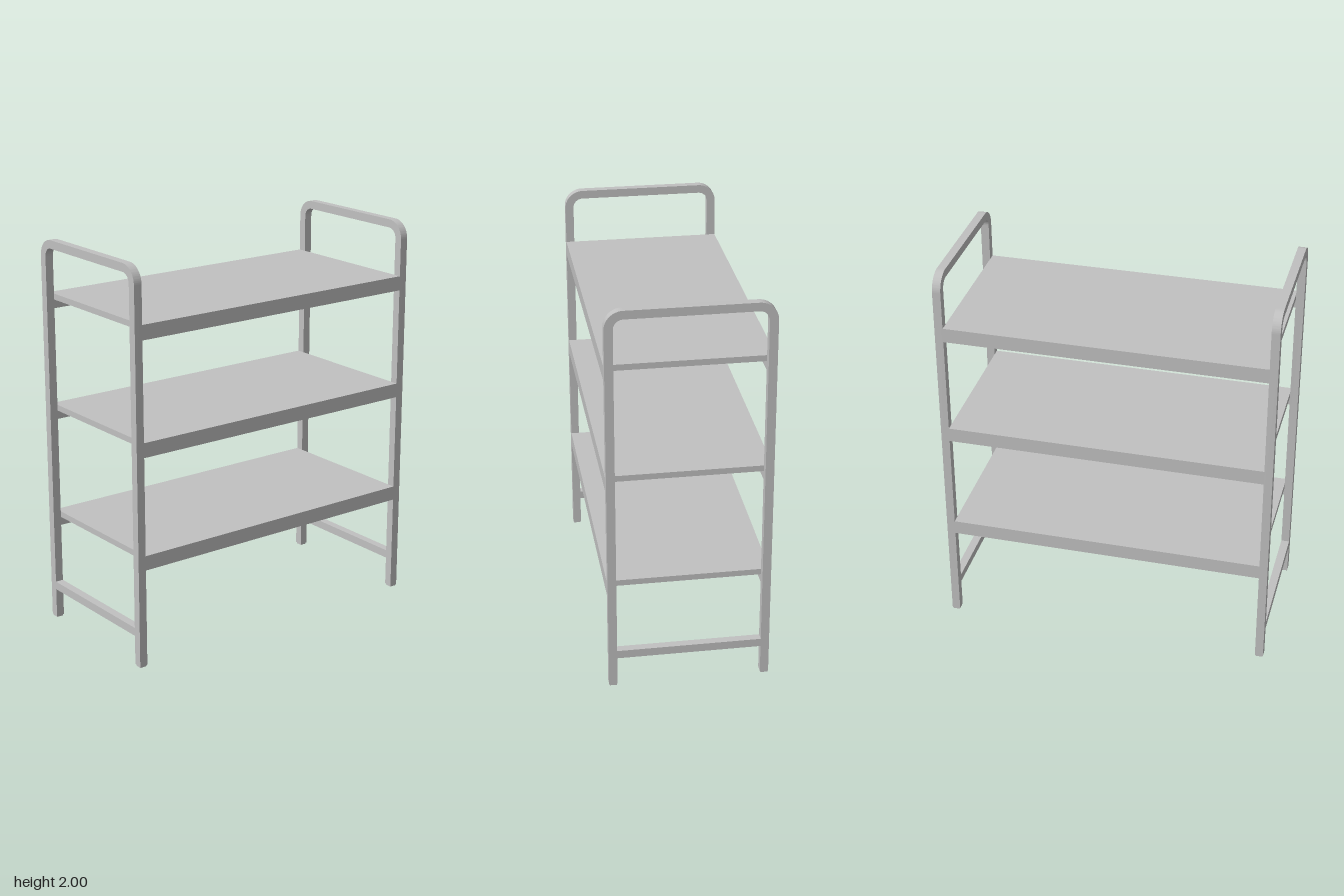
import * as THREE from 'three';
import { toCreasedNormals } from 'three/addons/utils/BufferGeometryUtils.js';

const HALF_W = 0.4, TUBE = 0.042, HALF_D = 0.842, HEIGHT = 2;
const SHELF_HALF = HALF_D - TUBE, FOOT = 0.008;

export function createModel() {
  const group = new THREE.Group();
  const metal = new THREE.MeshStandardMaterial({ color: 0xc0c0c0 });
  metal.name = 'greyMetal';

  const add = (name, geometry, x, y, z) => {
    const mesh = new THREE.Mesh(geometry, metal);
    mesh.name = name;
    mesh.position.set(x, y, z);
    group.add(mesh);
  };
  const box = (name, w, h, d, x, y, z) => add(name, new THREE.BoxGeometry(w, h, d), x, y, z);

  // Hoop outline: two legs joined by a rounded handle
  const r = 0.09, ri = r - TUBE, xi = HALF_W - TUBE, cx = HALF_W - r, cy = HEIGHT - r;
  const hoop = new THREE.Shape();
  hoop.moveTo(xi, FOOT);
  hoop.lineTo(HALF_W, FOOT);
  hoop.absarc(cx, cy, r, 0, Math.PI / 2, false);
  hoop.absarc(-cx, cy, r, Math.PI / 2, Math.PI, false);
  hoop.lineTo(-HALF_W, FOOT);
  hoop.lineTo(-xi, FOOT);
  hoop.absarc(-cx, cy, ri, Math.PI, Math.PI / 2, true);
  hoop.absarc(cx, cy, ri, Math.PI / 2, 0, true);
  hoop.closePath();
  const hoopGeometry = toCreasedNormals(
    new THREE.ExtrudeGeometry(hoop, { depth: TUBE, bevelEnabled: false, curveSegments: 16 }), 0.6);

  // End frames with crossbars and feet
  for (const [end, s] of [['front', 1], ['back', -1]]) {
    const z = s * (HALF_D - TUBE / 2);
    add(end + 'Frame', hoopGeometry, 0, 0, z - TUBE / 2);
    box(end + 'Crossbar', 2 * xi, 0.042, TUBE, 0, 0.179, z);
    for (const sx of [-1, 1]) {
      box(end + (sx > 0 ? 'LeftFoot' : 'RightFoot'), TUBE - 0.006, FOOT, TUBE - 0.006,
        sx * (HALF_W - TUBE / 2), FOOT / 2, z);
    }
  }

  // Shelves: a thin board between two deeper side rails
  const railH = 0.074, boardH = 0.03;
  for (const [name, top] of [['lower', 0.578], ['middle', 1.148], ['upper', 1.72]]) {
    box(name + 'Shelf', 2 * xi, boardH, 2 * SHELF_HALF, 0, top - boardH / 2, 0);
    for (const sx of [-1, 1]) {
      box(name + (sx > 0 ? 'LeftRail' : 'RightRail'), TUBE, railH, 2 * SHELF_HALF,
        sx * (HALF_W - TUBE / 2), top - railH / 2, 0);
    }
  }
  return group;
}
